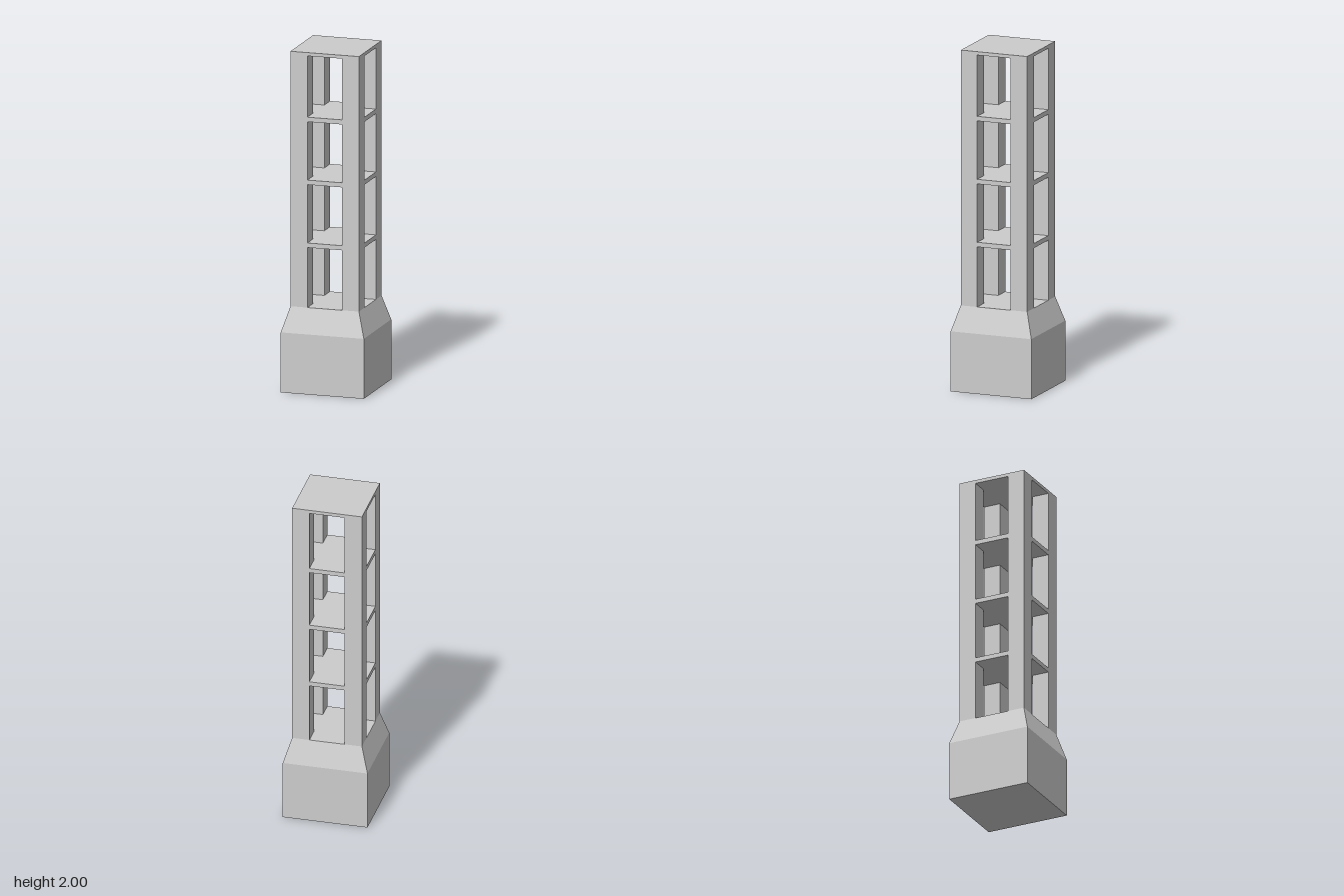
import * as THREE from 'three';

export function createModel() {
  const concrete = new THREE.MeshStandardMaterial({ color: 0xcccccc });
  const model = new THREE.Group();
  model.name = 'tower';

  const add = (name, geometry, x = 0, y = 0, z = 0) => {
    const mesh = new THREE.Mesh(geometry, concrete);
    mesh.name = name;
    mesh.position.set(x, y, z);
    model.add(mesh);
  };

  const half = 0.206; // half width of the shaft
  const gap = 0.104; // half width of the openings
  const baseHalf = 0.25;
  const shaftBottom = 0.5;
  const top = 2;

  // Square base with a sloped shoulder: a four-sided lathe
  const profile = [
    [0, 0],
    [baseHalf, 0],
    [baseHalf, 0.353],
    [half, shaftBottom],
    [0, shaftBottom],
  ].map(([x, y]) => new THREE.Vector2(x * Math.SQRT2, y));
  const base = new THREE.LatheGeometry(profile, 4, Math.PI / 4).toNonIndexed();
  base.computeVertexNormals();
  add('base', base);

  // Four corner posts
  const postWidth = half - gap;
  const postHeight = top - shaftBottom;
  const post = new THREE.BoxGeometry(postWidth, postHeight, postWidth);
  const postCentre = (half + gap) / 2;
  for (const sx of [-1, 1]) {
    for (const sz of [-1, 1]) {
      add(`${sz > 0 ? 'front' : 'back'}${sx > 0 ? 'Left' : 'Right'}Post`, post,
        sx * postCentre, shaftBottom + postHeight / 2, sz * postCentre);
    }
  }

  // Cross-shaped slabs that fit between the posts
  const cross = new THREE.Shape([
    [gap, half], [-gap, half], [-gap, gap], [-half, gap],
    [-half, -gap], [-gap, -gap], [-gap, -half], [gap, -half],
    [gap, -gap], [half, -gap], [half, gap], [gap, gap],
  ].map(([x, y]) => new THREE.Vector2(x, y)));
  const slabs = [
    ['firstFloor', 0.853, 0.88],
    ['secondFloor', 1.223, 1.25],
    ['thirdFloor', 1.593, 1.62],
    ['roof', 1.98, top],
  ];
  for (const [name, y0, y1] of slabs) {
    const slab = new THREE.ExtrudeGeometry(cross, { depth: y1 - y0, bevelEnabled: false });
    slab.rotateX(-Math.PI / 2);
    add(name, slab, 0, y0, 0);
  }

  return model;
}
